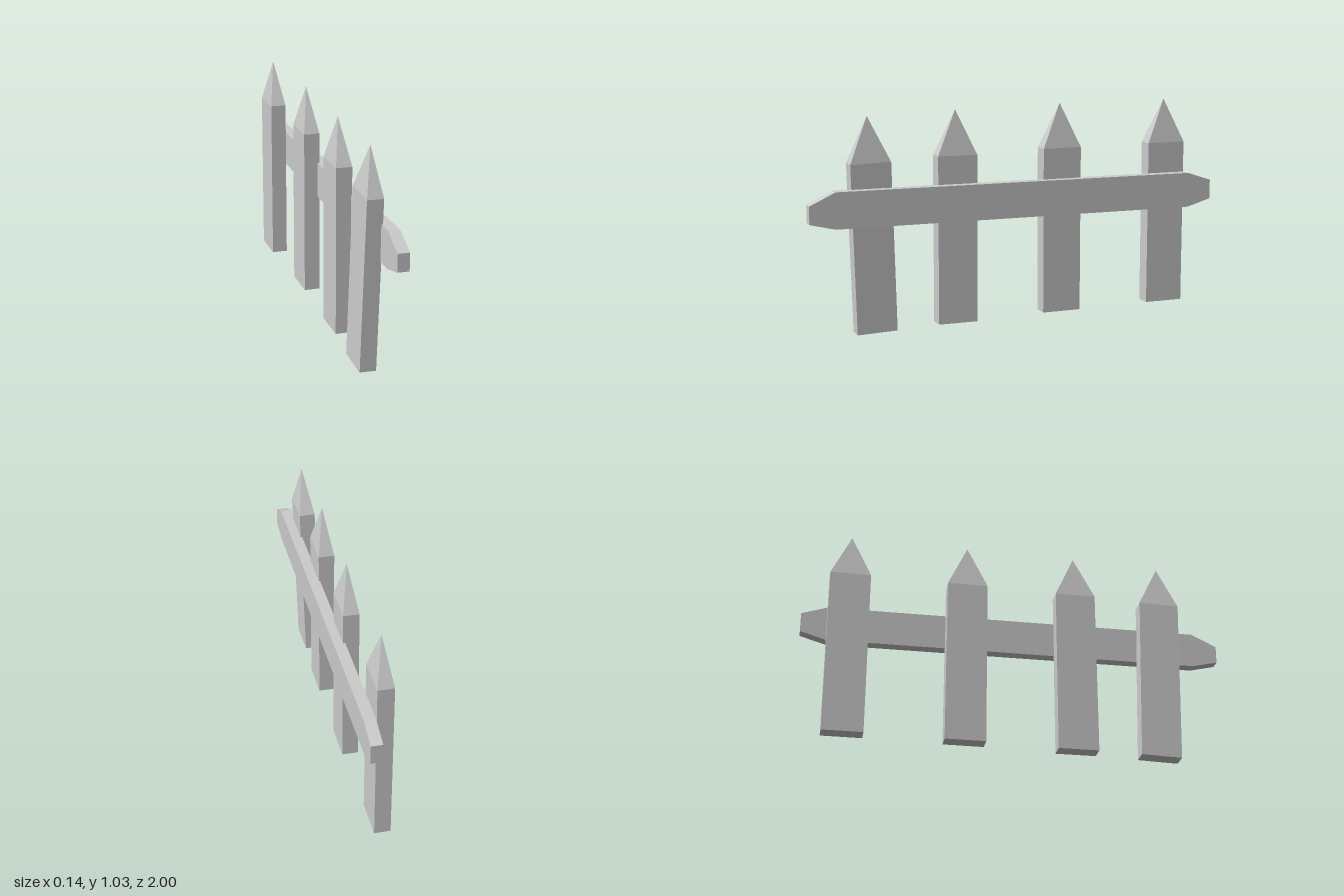
import * as THREE from 'three';

const material = new THREE.MeshStandardMaterial({ color: 0xcccccc, flatShading: true });

// Pointed post: four-sided lathe turned square, base at y = 0
function picketGeometry() {
  const r = Math.SQRT1_2;
  const profile = [[0, 0], [r, 0], [r, 0.79], [0, 1.0]].map(([x, y]) => new THREE.Vector2(x, y));
  return new THREE.LatheGeometry(profile, 4)
    .rotateY(Math.PI / 4)
    .scale(0.075, 1, 0.19)
    .toNonIndexed();
}

// Horizontal board with clipped ends, outline drawn along z and extruded along x
function railGeometry() {
  const outline = [
    [-1, 0.54], [-0.88, 0.505], [0.88, 0.511], [1, 0.54],
    [1, 0.622], [0.88, 0.679], [-0.88, 0.672], [-1, 0.632],
  ].map(([z, y]) => new THREE.Vector2(-z, y));
  return new THREE.ExtrudeGeometry(new THREE.Shape(outline), { depth: 0.053, bevelEnabled: false })
    .rotateY(Math.PI / 2)
    .translate(0.014, 0, 0);
}

export function createModel() {
  const fence = new THREE.Group();
  fence.name = 'fence';

  const rail = new THREE.Mesh(railGeometry(), material);
  rail.name = 'rail';
  fence.add(rail);

  // Pickets: base position and slight lean
  const geometry = picketGeometry();
  const pickets = [
    { base: [-0.026, 0.03, -0.785], lean: [0, 0] },
    { base: [-0.013, 0.03, -0.23], lean: [0, 0] },
    { base: [-0.018, 0.018, 0.293], lean: [-0.004, 0] },
    { base: [-0.031, 0.005, 0.68], lean: [0.03, -0.022] },
  ];
  pickets.forEach(({ base, lean }, i) => {
    const picket = new THREE.Mesh(geometry, material);
    picket.name = `picket${i + 1}`;
    picket.position.set(...base);
    picket.rotation.set(lean[0], 0, lean[1]);
    fence.add(picket);
  });

  return fence;
}
